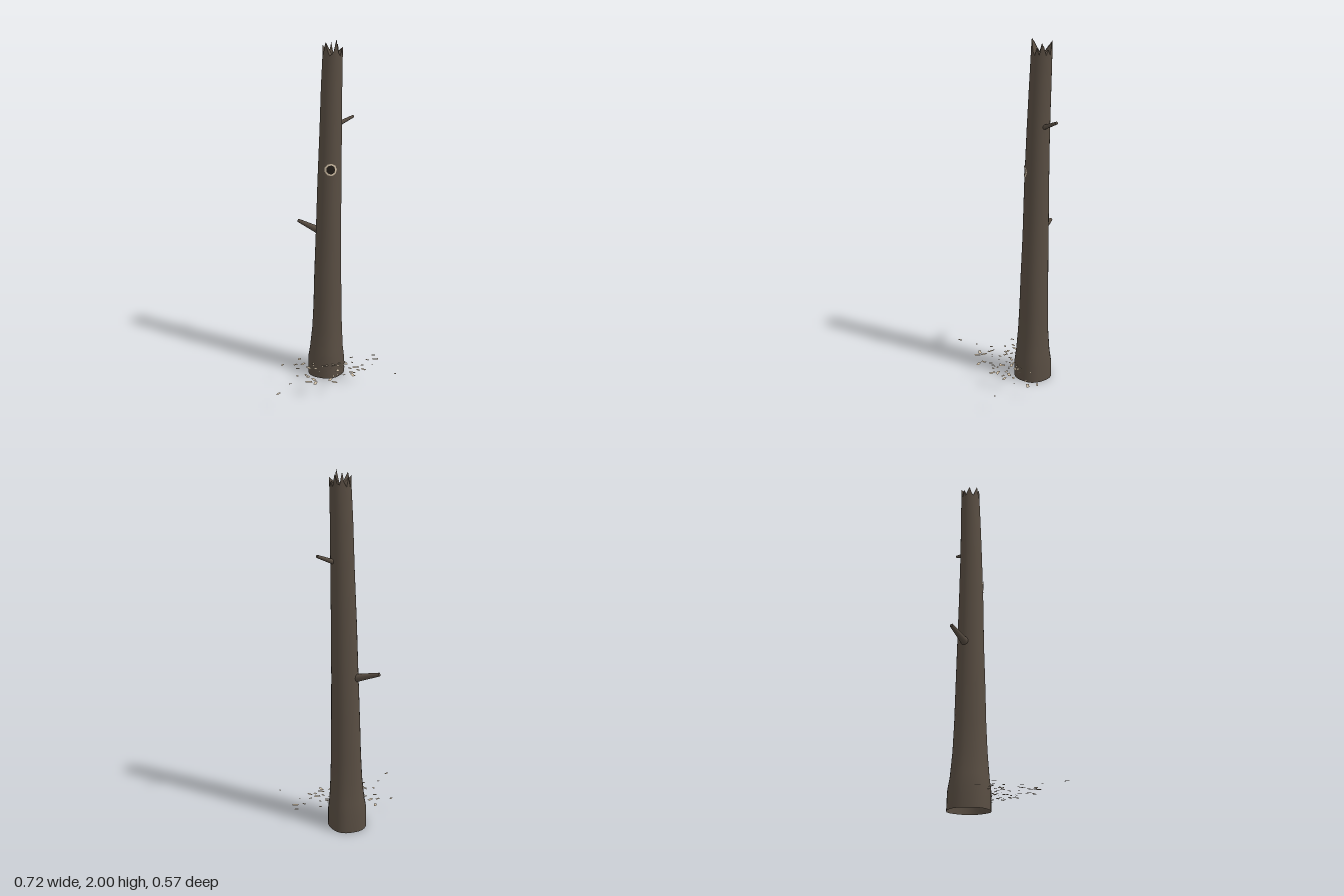
import * as THREE from 'three';

const SIDES = 28;
// trunk axis and girth: height, centre x, centre z, radius
const RINGS = [
  [0, -0.022, -0.149, 0.112], [0.1, -0.022, -0.149, 0.111], [0.17, -0.02, -0.148, 0.101],
  [0.3, -0.016, -0.148, 0.091], [0.45, -0.014, -0.149, 0.085], [0.65, -0.011, -0.15, 0.081],
  [0.9, -0.005, -0.153, 0.075], [1.2, 0.001, -0.155, 0.07], [1.5, 0.009, -0.158, 0.064],
  [1.75, 0.016, -0.164, 0.06], [1.9, 0.022, -0.168, 0.057],
];
// splinter heights round the broken rim, starting at the front
const SPLINTERS = [
  0.03, 0.09, 0.02, 0, 0.04, 0, 0.05, 0.045, 0, 0.03, 0, 0.065, 0.02, 0.01,
  0.075, 0.02, 0, 0.05, 0, 0.03, 0.06, 0.02, 0, 0.04, 0.075, 0.03, 0, 0.01,
];
const TOP = [0.023, -0.169];
const GROUND = 0.097; // the foot of the trunk is buried below this level

// chips: x, z, length, turn in degrees
const LARGE_CHIPS = [
  [-0.19, -0.13, 0.03, 75], [-0.3, -0.067, 0.022, 60], [-0.175, -0.062, 0.034, 38],
  [-0.213, -0.006, 0.022, -5], [-0.22, -0.06, 0.026, 25], [-0.147, -0.014, 0.03, -25],
  [-0.105, 0.008, 0.028, -65], [-0.062, -0.013, 0.022, 45], [-0.038, -0.018, 0.024, 25],
  [0.032, -0.008, 0.034, -25], [0.078, -0.022, 0.028, 0], [0.272, -0.117, 0.022, -15],
  [0.273, -0.063, 0.036, -3], [0.222, -0.06, 0.02, -40], [0.135, 0.024, 0.036, 5],
  [0.176, 0.057, 0.03, -42], [0.098, 0.033, 0.022, -45], [0.023, 0.047, 0.034, 85],
  [0.1, 0.116, 0.036, -70], [0.1, 0.083, 0.03, -30], [-0.037, 0.152, 0.032, 55],
  [-0.018, 0.185, 0.034, -35], [-0.132, 0.14, 0.034, -65], [-0.127, 0.18, 0.036, 70],
  [-0.163, 0.162, 0.038, -3], [-0.165, 0.092, 0.026, -42], [-0.345, 0.27, 0.026, 45],
  [-0.115, -0.032, 0.02, -60], [0.143, 0.06, 0.022, -55], [0.048, -0.037, 0.022, -5],
];
const SMALL_CHIPS = [
  [-0.222, 0.081, 0.018, -85], [-0.271, 0.17, 0.015, 10], [0.351, 0.136, 0.01, -10],
  [0.24, 0.01, 0.008, 90], [0.178, 0.004, 0.019, 10], [0.131, -0.106, 0.019, 18],
  [0.124, -0.04, 0.016, -65], [0.08, -0.057, 0.01, 50], [0.005, -0.025, 0.022, -40],
  [0, -0.004, 0.016, 25], [-0.014, 0.017, 0.011, 50], [-0.048, 0.057, 0.01, 0],
  [-0.09, 0.046, 0.019, 40], [-0.095, 0.092, 0.01, 30], [-0.113, 0.09, 0.009, -70],
  [-0.172, 0.077, 0.018, -50], [-0.16, 0.107, 0.018, 30], [-0.012, 0.113, 0.022, 85],
  [0.012, 0.104, 0.015, 85], [0.025, 0.094, 0.011, 40], [0.05, 0.106, 0.017, 40],
  [0.042, 0.078, 0.015, -15], [0.052, 0.012, 0.009, 35], [0.067, 0.013, 0.009, 30],
  [0.008, 0.055, 0.016, 55], [0.116, 0.09, 0.015, 20], [-0.112, -0.06, 0.02, 45],
  [-0.143, 0.003, 0.02, 25], [-0.125, 0, 0.018, 15], [0.083, -0.038, 0.022, -35],
];

function mat(name, color, side = THREE.FrontSide) {
  return new THREE.MeshStandardMaterial({ name, color, side });
}

function geometryFrom(points, index) {
  const g = new THREE.BufferGeometry();
  g.setAttribute('position', new THREE.Float32BufferAttribute(points.flat(), 3));
  g.setIndex(index);
  g.computeVertexNormals();
  return g;
}

// one point on a slightly lumpy ring
function ringPoint([y, cx, cz, r], i) {
  const a = (i / SIDES) * Math.PI * 2;
  const lump = 1 + 0.022 * Math.sin(5 * a + 1) * (r / 0.11) ** 2 + 0.008 * Math.sin(3 * a + y * 7);
  return [cx + Math.sin(a) * r * lump, y, cz + Math.cos(a) * r * lump];
}

// surface depth of the trunk front near the hole
function frontZ(x) {
  return -0.156 + Math.sqrt(0.0685 ** 2 - (x - 0.003) ** 2);
}

// bends a flat plate round the trunk front
function wrapPlate(geometry, cx, cy, lift) {
  const p = geometry.attributes.position;
  for (let i = 0; i < p.count; i++) {
    const x = p.getX(i) + cx;
    p.setXYZ(i, x, p.getY(i) + cy, frontZ(x) + lift);
  }
  geometry.computeVertexNormals();
  return geometry;
}

// tapered branch stub between two points
function stub(name, from, to, r0, r1, material) {
  const a = new THREE.Vector3(...from), b = new THREE.Vector3(...to);
  const dir = b.clone().sub(a);
  const mesh = new THREE.Mesh(new THREE.CylinderGeometry(r1, r0, dir.length(), 10), material);
  mesh.position.copy(a).add(b).multiplyScalar(0.5);
  mesh.quaternion.setFromUnitVectors(new THREE.Vector3(0, 1, 0), dir.normalize());
  mesh.name = name;
  return mesh;
}

export function createModel() {
  const model = new THREE.Group();
  model.name = 'deadTree';
  const bark = mat('bark', 0x584d42, THREE.DoubleSide);
  const wood = mat('pale wood', 0xd0bfa6, THREE.DoubleSide);
  const hollow = mat('dark hollow', 0x241e19);
  const add = (name, geometry, material) => {
    const mesh = new THREE.Mesh(geometry, material);
    mesh.name = name;
    model.add(mesh);
  };

  // trunk skin, open at the foot and ending in a splintered rim
  const rim = SPLINTERS.map((h, i) => ringPoint([1.91 + h, ...TOP, 0.057], i));
  const points = [], index = [];
  for (const ring of RINGS) for (let i = 0; i < SIDES; i++) points.push(ringPoint(ring, i));
  points.push(...rim);
  for (let r = 0; r < RINGS.length; r++) {
    for (let i = 0; i < SIDES; i++) {
      const j = (i + 1) % SIDES, a = r * SIDES, b = a + SIDES;
      index.push(a + i, a + j, b + j, a + i, b + j, b + i);
    }
  }
  add('trunk', geometryFrom(points, index), bark);

  // broken top: a fan from the rim to a sunken centre
  const fan = rim.flatMap((_, i) => [SIDES, i, (i + 1) % SIDES]);
  add('brokenTop', geometryFrom([...rim, [TOP[0], 1.91, TOP[1]]], fan), bark);

  // branch stubs
  model.add(stub('leftBranch', [0.05, 1.53, -0.173], [0.152, 1.57, -0.228], 0.014, 0.008, bark));
  model.add(stub('rightBranch', [-0.055, 0.9, -0.187], [-0.172, 0.943, -0.279], 0.023, 0.01, bark));

  // nest hole with a pale chipped rim
  add('hole', wrapPlate(new THREE.RingGeometry(0.001, 0.028, 14, 4), 0, 1.283, 0.003), hollow);
  add('holeRim', wrapPlate(new THREE.RingGeometry(0.026, 0.036, 9, 2), 0, 1.283, 0.004), wood);

  // flat wood chips on the ground
  const chips = new THREE.Group();
  chips.name = 'woodChips';
  for (const [x, z, length, degrees] of [...LARGE_CHIPS, ...SMALL_CHIPS]) {
    const plate = new THREE.PlaneGeometry(length, length * 0.35 + 0.004).rotateX(-Math.PI / 2);
    const mesh = new THREE.Mesh(plate, wood);
    mesh.position.set(x, GROUND, z);
    mesh.rotation.y = THREE.MathUtils.degToRad(degrees);
    mesh.name = 'chip';
    chips.add(mesh);
  }
  model.add(chips);
  return model;
}
